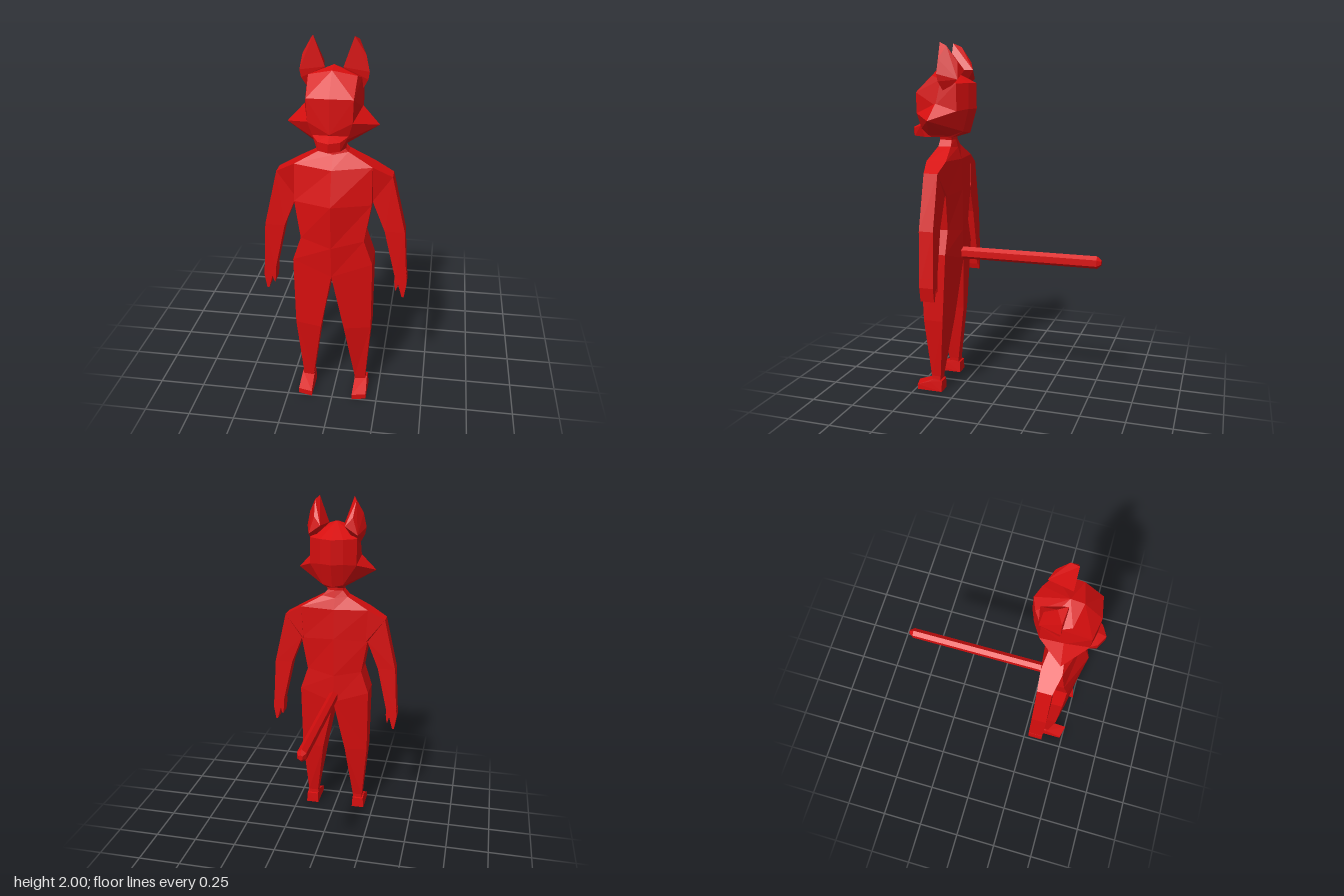
import * as THREE from 'three';
import { ConvexGeometry } from 'three/addons/geometries/ConvexGeometry.js';

const red = new THREE.MeshStandardMaterial({ color: 0xd60e0e });
red.name = 'red';

// Flat-shaded skin over rings of [x, y, z]; rings turn counterclockwise about the loft direction.
function loft(rings) {
  const out = [];
  const tri = (a, b, c) => out.push(...a, ...b, ...c);
  const n = rings[0].length;
  for (let r = 0; r + 1 < rings.length; r++) {
    const a = rings[r], b = rings[r + 1];
    for (let i = 0; i < n; i++) {
      const j = (i + 1) % n;
      tri(a[i], a[j], b[j]);
      tri(a[i], b[j], b[i]);
    }
  }
  const first = rings[0], last = rings[rings.length - 1];
  for (let i = 1; i + 1 < n; i++) {
    tri(first[0], first[i + 1], first[i]);
    tri(last[0], last[i], last[i + 1]);
  }
  const g = new THREE.BufferGeometry();
  g.setAttribute('position', new THREE.Float32BufferAttribute(out, 3));
  g.computeVertexNormals();
  return g;
}

const hull = (pts) => new ConvexGeometry(pts.map((p) => new THREE.Vector3(...p)));

// Points plus their mirror images in x.
const both = (pts) => pts.flatMap(([x, y, z]) => (x ? [[x, y, z], [-x, y, z]] : [[x, y, z]]));

// Mirrored copy with the corner order restored.
function mirror(geo) {
  const p = geo.attributes.position, out = [];
  for (let i = 0; i < p.count; i += 3)
    for (const k of [i, i + 2, i + 1]) out.push(-p.getX(k), p.getY(k), p.getZ(k));
  const g = new THREE.BufferGeometry();
  g.setAttribute('position', new THREE.Float32BufferAttribute(out, 3));
  g.computeVertexNormals();
  return g;
}

export function createModel() {
  const model = new THREE.Group();
  model.name = 'foxFigure';

  const add = (name, geo, parent = model) => {
    const m = new THREE.Mesh(geo, red);
    m.name = name;
    parent.add(m);
  };
  const addPair = (name, geo, parent) => {
    add('left' + name, geo, parent);
    add('right' + name, mirror(geo), parent);
  };

  // Torso: [half width, side y, middle y, front, front corner, back corner, back]
  const torso = [
    [0.21, 0.835, 0.77, 0.485, 0.44, 0.29, 0.26],
    [0.165, 0.97, 0.94, 0.495, 0.445, 0.29, 0.262],
    [0.2, 1.165, 1.175, 0.507, 0.42, 0.285, 0.262],
    [0.2, 1.36, 1.355, 0.455, 0.395, 0.28, 0.265],
    [0.075, 1.43, 1.42, 0.4, 0.375, 0.3, 0.285],
    [0.045, 1.465, 1.465, 0.39, 0.375, 0.305, 0.295],
    [0.055, 1.5, 1.5, 0.39, 0.375, 0.305, 0.295],
  ].map(([x, ys, ym, f, fc, bc, b]) => [
    [0, ym, f], [x, ys, fc], [x, ys, bc], [0, ym, b], [-x, ys, bc], [-x, ys, fc],
  ]);
  add('torso', loft(torso));

  // Legs: four-sided, tapering to the ankle
  addPair('Leg', loft([
    [[0.12, 0.05, 0.4], [0.178, 0.05, 0.395], [0.178, 0.05, 0.345], [0.12, 0.05, 0.345]],
    [[0.117, 0.09, 0.405], [0.176, 0.09, 0.4], [0.176, 0.09, 0.345], [0.117, 0.09, 0.345]],
    [[0.063, 0.44, 0.462], [0.206, 0.44, 0.43], [0.206, 0.44, 0.315], [0.07, 0.44, 0.29]],
    [[0, 0.77, 0.485], [0.21, 0.835, 0.44], [0.21, 0.835, 0.29], [0, 0.77, 0.26]],
  ]));

  // Feet
  addPair('Foot', hull([
    [0.113, 0, 0.335], [0.19, 0, 0.335], [0.113, 0, 0.505], [0.19, 0, 0.487],
    [0.113, 0.03, 0.505], [0.19, 0.03, 0.487], [0.115, 0.055, 0.415], [0.188, 0.055, 0.41],
    [0.117, 0.075, 0.385], [0.185, 0.075, 0.385], [0.117, 0.065, 0.335], [0.185, 0.065, 0.335],
  ]));

  // Arms: [inner x, inner y, outer x, outer y, front, back]
  const limb = (rows) => loft(rows.map(([xi, yi, xo, yo, f, b]) => [
    [xi, yi, f], [xo, yo, f], [xo, yo, b], [xi, yi, b],
  ]));
  addPair('Arm', limb([
    [0.325, 0.73, 0.387, 0.7, 0.372, 0.292],
    [0.265, 1.0, 0.37, 1.0, 0.375, 0.293],
    [0.2, 1.165, 0.3, 1.305, 0.37, 0.29],
    [0.19, 1.165, 0.2, 1.36, 0.395, 0.28],
  ]));
  addPair('Fingers', limb([
    [0.365, 0.61, 0.376, 0.61, 0.372, 0.292],
    [0.343, 0.69, 0.389, 0.69, 0.372, 0.292],
    [0.33, 0.74, 0.386, 0.74, 0.372, 0.292],
  ]));
  addPair('Thumb', limb([
    [0.329, 0.65, 0.334, 0.65, 0.372, 0.292],
    [0.323, 0.7, 0.345, 0.69, 0.372, 0.292],
    [0.323, 0.74, 0.35, 0.74, 0.372, 0.292],
  ]));

  // Tail: straight six-sided rod with a blunt tip
  add('tail', loft([[-0.555, 0.45], [-0.53, 1], [0.3, 1]].map(([z, s]) =>
    Array.from({ length: 6 }, (_, i) => {
      const a = Math.PI / 6 + (i * Math.PI) / 3;
      return [Math.cos(a) * 0.029 * s, 0.805 + Math.sin(a) * 0.036 * s, z];
    }))));

  // Head: skull, cheek ruffs, muzzle and ears
  const head = new THREE.Group();
  head.name = 'head';
  model.add(head);
  add('skull', hull(both([
    [0, 1.862, 0.34], [0, 1.848, 0.41], [0.12, 1.82, 0.385], [0.135, 1.8, 0.33],
    [0, 1.735, 0.507], [0.115, 1.73, 0.487], [0, 1.56, 0.507], [0.11, 1.615, 0.487],
    [0.085, 1.53, 0.47], [0, 1.78, 0.17], [0, 1.64, 0.17], [0.065, 1.78, 0.195],
    [0.065, 1.64, 0.195], [0.135, 1.78, 0.24], [0.135, 1.63, 0.24], [0.145, 1.66, 0.36],
    [0, 1.505, 0.21], [0.06, 1.515, 0.23], [0.05, 1.48, 0.3], [0.05, 1.48, 0.45],
  ])), head);
  addPair('Cheek', hull([
    [0.23, 1.58, 0.375], [0.145, 1.67, 0.36], [0.11, 1.615, 0.487], [0.135, 1.63, 0.24],
    [0.085, 1.53, 0.47], [0.06, 1.515, 0.23], [0.04, 1.48, 0.45], [0.04, 1.48, 0.3],
  ]), head);
  add('muzzle', hull(both([
    [0, 1.53, 0.555], [0, 1.485, 0.555], [0.055, 1.53, 0.525], [0.055, 1.485, 0.525],
    [0, 1.558, 0.5], [0.088, 1.545, 0.475], [0.075, 1.48, 0.455], [0, 1.48, 0.38],
  ])), head);
  addPair('Ear', hull([
    [0.045, 1.85, 0.345], [0.1, 2.0, 0.345], [0.118, 1.98, 0.3], [0.155, 1.91, 0.335],
    [0.172, 1.83, 0.34], [0.165, 1.79, 0.335], [0.13, 1.725, 0.31],
    [0.07, 1.85, 0.215], [0.11, 1.895, 0.24], [0.14, 1.8, 0.23],
  ]), head);

  return model;
}
